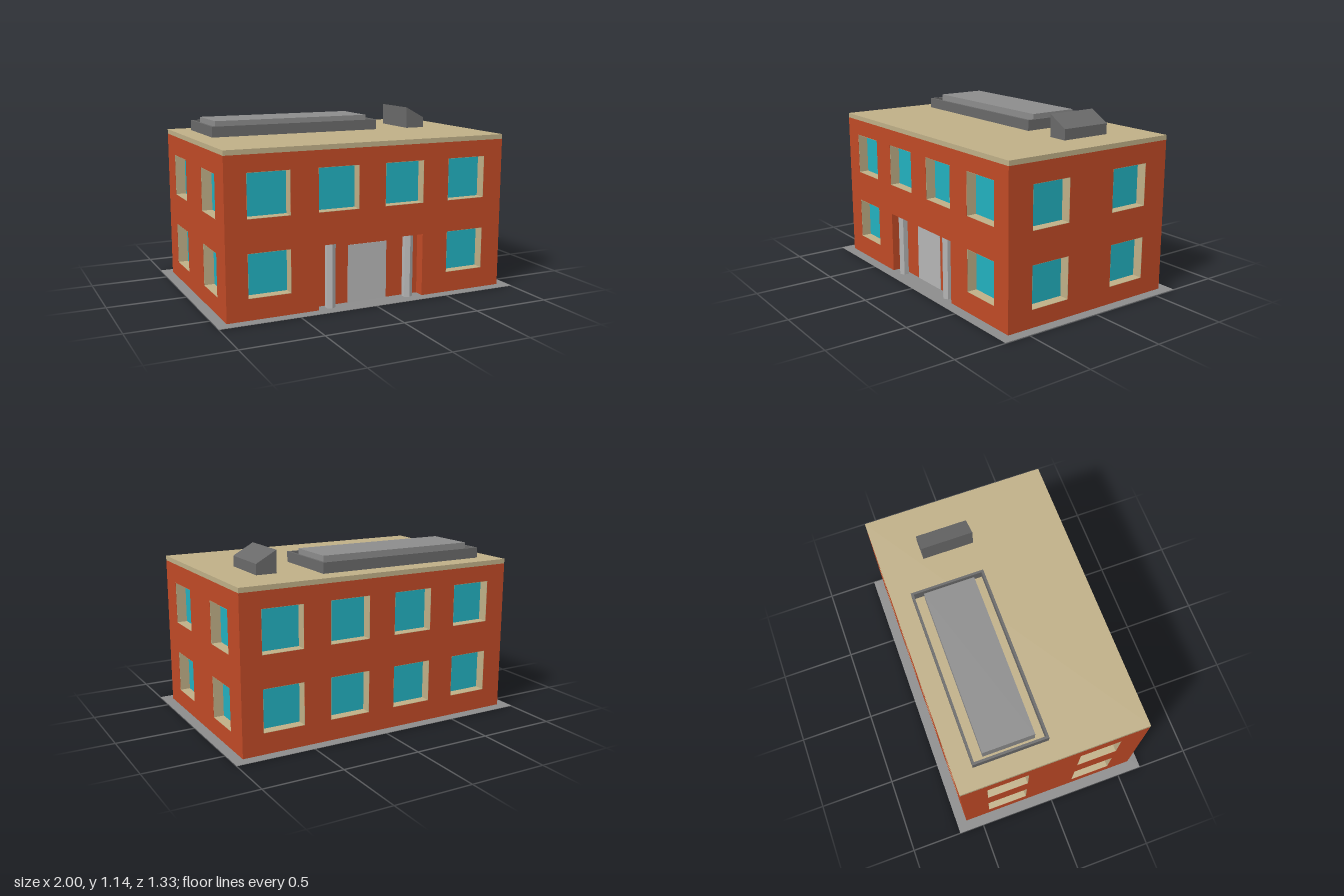
import * as THREE from 'three';

const W = 1.867, L = 1.2, H = 0.97, D = 0.067; // footprint, wall height, recess depth
const BASE = 0.002, WIN = 0.267;

const mat = (color) => new THREE.MeshStandardMaterial({ color });
const brick = mat(0xc04a26), tan = mat(0xbfaf87), glass = mat(0x22b0bf);
const paving = mat(0x8c8c8c), pale = mat(0xb5b5b5), dark = mat(0x696969);

function add(parent, name, geometry, material, x = 0, y = 0, z = 0) {
  const m = new THREE.Mesh(geometry, material);
  m.name = name;
  m.position.set(x, y, z);
  parent.add(m);
  return m;
}

// Box given by its extents
function box(parent, name, material, x0, x1, y0, y1, z0, z1) {
  return add(parent, name, new THREE.BoxGeometry(x1 - x0, y1 - y0, z1 - z0), material,
    (x0 + x1) / 2, (y0 + y1) / 2, (z0 + z1) / 2);
}

const rect = (x0, x1, y0, y1, Type = THREE.Shape) => new Type([
  [x0, y0], [x1, y0], [x1, y1], [x0, y1],
].map((p) => new THREE.Vector2(...p)));

const extrude = (shape, depth) => new THREE.ExtrudeGeometry(shape, { depth, bevelEnabled: false });

// Rectangular frame of thickness t, extruded along z
function frame(x0, x1, y0, y1, t, depth) {
  const s = rect(x0, x1, y0, y1);
  s.holes.push(rect(x0 + t, x1 - t, y0 + t, y1 - t, THREE.Path));
  return extrude(s, depth);
}

// One facade facing local +z at the given distance, with recessed windows [x, y] (lower left corners)
function facade(name, width, dist, angle, windows, entrance = 0) {
  const g = new THREE.Group();
  g.name = name;
  const w = width / 2, e = entrance;
  const pts = [[-w, BASE]];
  if (e) pts.push([-e, BASE], [-e, 0.4], [e, 0.4], [e, BASE]);
  pts.push([w, BASE], [w, H], [-w, H]);
  const s = new THREE.Shape(pts.map((p) => new THREE.Vector2(...p)));
  for (const [x, y] of windows) s.holes.push(rect(x, x + WIN, y, y + WIN, THREE.Path));
  add(g, 'wall', extrude(s, D), brick, 0, 0, dist - D);
  for (const [x, y] of windows) {
    add(g, 'windowReveal', frame(x, x + WIN, y, y + WIN, 0.002, D - 0.001), tan, 0, 0, dist - D);
    box(g, 'windowPane', glass, x, x + WIN, y, y + WIN, dist - D, dist - D + 0.002);
  }
  g.rotation.y = angle;
  return g;
}

export function createModel() {
  const model = new THREE.Group();
  model.name = 'building';

  // Paving and inner core
  box(model, 'paving', paving, -1, 1, 0, 0.003, -0.667, 0.667);
  box(model, 'core', brick, -W / 2 + D, W / 2 - D, BASE, H, -L / 2 + D, L / 2 - D);

  // Four facades
  const columns = [-0.8, -0.356, 0.089, 0.533];
  const upper = columns.map((x) => [x, 0.6]);
  const lower = columns.map((x) => [x, 0.133]);
  const side = [-0.433, 0.166].flatMap((x) => [[x, 0.113], [x, 0.58]]);
  model.add(
    facade('frontFacade', W, L / 2, 0, [...upper, lower[0], lower[3]], 0.356),
    facade('backFacade', W, L / 2, Math.PI, [...upper, ...lower]),
    facade('leftFacade', L - 2 * D, W / 2, Math.PI / 2, side),
    facade('rightFacade', L - 2 * D, W / 2, -Math.PI / 2, side),
  );

  // Entrance door and six-sided columns
  const zBack = L / 2 - D;
  box(model, 'door', pale, -0.133, 0.133, BASE, 0.367, zBack - 0.01, zBack + 0.002);
  const columnMat = mat(0xb5b5b5);
  columnMat.flatShading = true;
  for (const s of [-1, 1]) {
    add(model, 'entranceColumn', new THREE.CylinderGeometry(0.033, 0.033, 0.398, 6),
      columnMat, s * 0.267, 0.201, 0.567);
  }

  // Roof slab
  box(model, 'roof', tan, -W / 2, W / 2, H, 1, -L / 2, L / 2);

  // Skylight with its surrounding kerb
  const kerb = frame(-0.807, 0.337, 0, 0.475, 0.015, 0.067);
  kerb.rotateX(-Math.PI / 2);
  add(model, 'skylightKerb', kerb, dark, 0, 1, 0);
  box(model, 'skylight', paving, -0.765, 0.295, 1, 1.093, -0.4, -0.073);

  // Sloped roof access
  const wedge = new THREE.Shape([[0.567, 1], [0.7, 1], [0.7, 1.067], [0.567, 1.14]]
    .map((p) => new THREE.Vector2(...p)));
  add(model, 'roofHatch', extrude(wedge, 0.335), dark, 0, 0, -0.322);

  return model;
}
